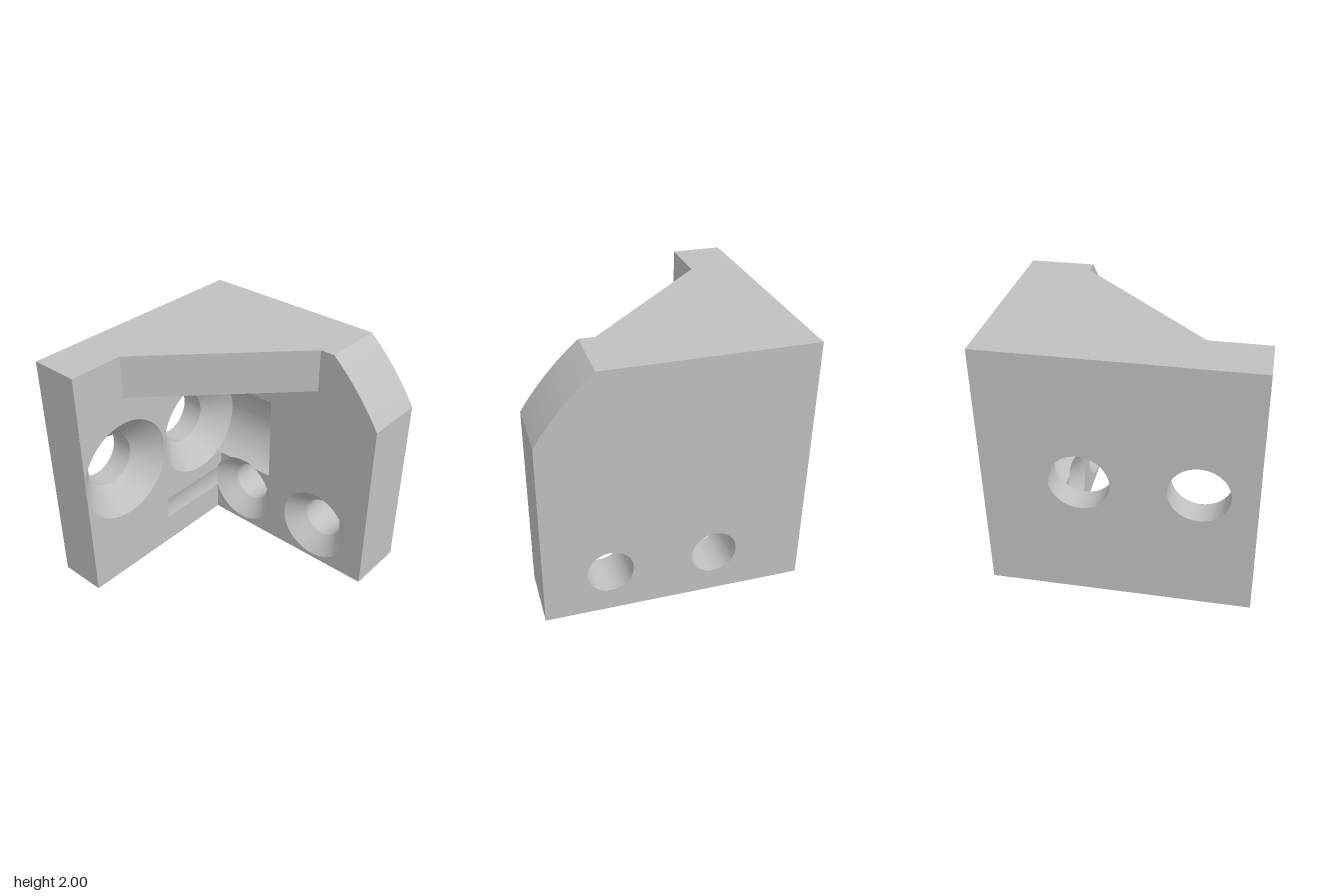
import * as THREE from 'three';
import { ParametricGeometry } from 'three/addons/geometries/ParametricGeometry.js';

const { lerp } = THREE.MathUtils;
const TAU = Math.PI * 2;

// Screw sizes: side-wall screws run along x, back-wall screws along z
const SIDE = { R: 0.429, r: 0.225, y: 1, z: [0.58, -0.28], wall: 0.4 };
const BACK = { R: 0.315, r: 0.175, y: 0.35, x: [-0.3, 0.5], wall: 0.5 };

// Root of a rising function on [lo, hi]; lo if already positive there
function solve(f, lo, hi) {
  if (f(lo) >= 0) return lo;
  for (let i = 0; i < 45; i++) {
    const m = (lo + hi) / 2;
    if (f(m) < 0) lo = m; else hi = m;
  }
  return hi;
}

export function createModel() {
  const grey = new THREE.MeshStandardMaterial({ color: 0xc0c0c0, side: THREE.DoubleSide });
  grey.name = 'plain grey';
  const model = new THREE.Group();
  model.name = 'cornerBracket';
  const part = (name) => {
    const g = new THREE.Group();
    g.name = name;
    model.add(g);
    return g;
  };
  const add = (group, name, geo) => {
    const m = new THREE.Mesh(geo, grey);
    m.name = name;
    group.add(m);
  };

  // Flat faces: x planes take (z, y), y planes take (x, z), z planes take (x, y)
  const flat = (group, name, shape, axis, at) => {
    const g = new THREE.ShapeGeometry(shape, 48);
    if (axis === 'x') g.rotateY(-Math.PI / 2).translate(at, 0, 0);
    if (axis === 'y') g.rotateX(Math.PI / 2).translate(0, at, 0);
    if (axis === 'z') g.translate(0, 0, at);
    add(group, name, g);
  };
  const poly = (...pts) => new THREE.Shape(pts.map(([a, b]) => new THREE.Vector2(a, b)));
  const circle = (a, b, r) => new THREE.Path().absarc(a, b, r, 0, TAU, false);
  const surface = (group, name, f, nu, nv) =>
    add(group, name, new ParametricGeometry((u, v, t) => t.set(...f(u, v)), nu, nv));

  const leftWall = part('sideWall');
  const backWall = part('backWall');
  const gusset = part('topGusset');

  // Where the inner screw heads bite into the neighbouring wall
  const pocketAngle = Math.acos(0.22 / SIDE.R);
  const pocketH = SIDE.R * Math.sin(pocketAngle);
  const grooveAngle = Math.acos(0.3 / BACK.R);
  const grooveH = BACK.R * Math.sin(grooveAngle);
  const lipAngle = Math.acos(0.42 / SIDE.R);
  const lipH = SIDE.R * Math.sin(lipAngle);

  // Side wall, outer face
  const outer = poly([-1, 0], [1, 0], [1, 2], [-1, 2]);
  SIDE.z.forEach((z) => outer.holes.push(circle(z, SIDE.y, SIDE.r)));
  flat(leftWall, 'outerFace', outer, 'x', -1);

  // Side wall, inner face with both countersink rims and the shallow groove
  const inner = new THREE.Shape();
  inner.moveTo(1, 0);
  inner.lineTo(1, 1 - lipH);
  inner.absarc(SIDE.z[0], 1, SIDE.R, -lipAngle, lipAngle, true);
  [[1, 2], [0.55, 2], [0.55, 1.65], [-0.5, 1.65], [-0.5, 1 + pocketH]].forEach((p) => inner.lineTo(...p));
  inner.absarc(SIDE.z[1], 1, SIDE.R, Math.PI - pocketAngle, pocketAngle - Math.PI, true);
  [[-0.5, 0.35 + grooveH], [0.15, 0.35 + grooveH], [0.15, 0.35 - grooveH], [-0.5, 0.35 - grooveH], [-0.5, 0]]
    .forEach((p) => inner.lineTo(...p));
  flat(leftWall, 'innerFace', inner, 'x', -0.6);

  // Side wall, front end, nicked by the front countersink
  const nick = [];
  for (let i = 0; i <= 12; i++) {
    const y = lerp(-lipH, lipH, i / 12);
    nick.push([-0.6 - SIDE.R + Math.hypot(0.42, y), 1 + y]);
  }
  flat(leftWall, 'frontEnd', poly([-1, 0], [-0.6, 0], ...nick, [-0.6, 2], [-1, 2]), 'z', 1);

  // Shallow groove in the side wall
  surface(leftWall, 'groove', (u, v) => {
    const a = Math.PI + lerp(-grooveAngle, grooveAngle, u);
    return [-0.3 + BACK.R * Math.cos(a), 0.35 + BACK.R * Math.sin(a), lerp(-0.5, 0.15, v)];
  }, 16, 1);
  flat(leftWall, 'grooveEnd', new THREE.Shape().absarc(-0.3, 0.35, BACK.R,
    Math.PI - grooveAngle, Math.PI + grooveAngle, false), 'z', 0.15);

  // Back wall, rear face with the curved corner cut
  const corner = new THREE.QuadraticBezierCurve(
    new THREE.Vector2(1, 1.5), new THREE.Vector2(0.823, 1.783), new THREE.Vector2(0.57, 2));
  const cutCorner = (s) => {
    s.lineTo(1, 1.5);
    s.quadraticCurveTo(0.823, 1.783, 0.57, 2);
  };
  const rear = new THREE.Shape();
  rear.moveTo(-1, 0);
  rear.lineTo(1, 0);
  cutCorner(rear);
  rear.lineTo(-1, 2);
  BACK.x.forEach((x) => rear.holes.push(circle(x, BACK.y, BACK.r)));
  flat(backWall, 'rearFace', rear, 'z', -1);

  // Back wall, front face: the pocket opening runs into the inner countersink
  const meet = Math.asin((1 - pocketH - 0.35) / BACK.R);
  const front = new THREE.Shape();
  front.moveTo(-0.6, 0);
  front.lineTo(1, 0);
  cutCorner(front);
  [[0.45, 2], [0.45, 1.65], [-0.6, 1.65], [-0.6, 1 + pocketH], [0, 1 + pocketH], [0, 1 - pocketH]]
    .forEach((p) => front.lineTo(...p));
  front.absarc(-0.3, 0.35, BACK.R, meet, grooveAngle - Math.PI, true);
  front.holes.push(circle(BACK.x[1], BACK.y, BACK.R));
  flat(backWall, 'frontFace', front, 'z', -0.5);
  const sliver = new THREE.Shape();
  sliver.moveTo(-0.6, 1 - pocketH);
  sliver.absarc(-0.3, 0.35, BACK.R, Math.PI - grooveAngle, Math.PI - meet, true);
  flat(backWall, 'frontFaceSliver', sliver, 'z', -0.5);

  // Curved corner cut and right end
  surface(backWall, 'cornerCut', (u, v) => {
    const p = corner.getPoint(u);
    return [p.x, p.y, lerp(-0.5, -1, v)];
  }, 16, 1);
  flat(backWall, 'endFace', poly([-1, 0], [-0.5, 0], [-0.5, 1.5], [-1, 1.5]), 'x', 1);

  // Round pocket in the back wall, trimmed where it meets the countersink
  surface(backWall, 'pocket', (u, v) => {
    const x = lerp(-0.6, 0, u);
    const at = (a) => [x, 1 + SIDE.R * Math.sin(a), SIDE.z[1] - SIDE.R * Math.cos(a)];
    const low = solve((a) => {
      const [, y, z] = at(a);
      return Math.hypot(x + 0.3, y - 0.35) - BACK.R + (-0.5 - z);
    }, -pocketAngle, 0);
    return at(lerp(low, pocketAngle, v));
  }, 64, 32);
  flat(backWall, 'pocketEnd', new THREE.Shape().absarc(SIDE.z[1], 1, SIDE.R,
    Math.PI - pocketAngle, Math.PI + pocketAngle, false), 'x', 0);

  // Countersunk screw holes: a 45 degree cone, then a straight bore
  const screwHole = (group, s, put, start) => {
    const depth = s.R - s.r;
    surface(group, 'countersink', (u, v) => {
      const a = u * TAU;
      const d = lerp(start(a), depth, v);
      return put(s.R - d, a, d);
    }, 96, 4);
    surface(group, 'bore', (u, v) => put(s.r, u * TAU, lerp(depth, s.wall, v)), 96, 1);
  };
  SIDE.z.forEach((zc, i) => {
    const put = (r, a, d) => [-0.6 - d, SIDE.y + r * Math.sin(a), zc + r * Math.cos(a)];
    screwHole(leftWall, SIDE, put,
      (a) => (i === 0 && Math.cos(a) > 0.9 ? Math.max(0, SIDE.R - 0.42 / Math.cos(a)) : 0));
  });
  BACK.x.forEach((xc, i) => {
    const put = (r, a, d) => [xc + r * Math.cos(a), BACK.y + r * Math.sin(a), -0.5 - d];
    screwHole(backWall, BACK, put, (a) => (i === 1 ? 0 : solve((d) => {
      const [, y, z] = put(BACK.R - d, a, d);
      return Math.hypot(y - 1, z - SIDE.z[1]) - SIDE.R;
    }, 0, BACK.R - BACK.r)));
  });

  // Top and bottom faces
  flat(gusset, 'topFace', poly([-1, -1], [0.57, -1], [0.57, -0.5], [0.45, -0.5],
    [-0.6, 0.55], [-0.6, 1], [-1, 1]), 'y', 2);
  flat(backWall, 'bottomFace', poly([-1, -1], [1, -1], [1, -0.5], [-0.6, -0.5], [-0.6, 1], [-1, 1]), 'y', 0);

  // Gusset underside and slanted edge
  flat(gusset, 'underside', poly([-0.6, -0.5], [0.45, -0.5], [-0.6, 0.55]), 'y', 1.65);
  surface(gusset, 'slantedEdge', (u, v) => [lerp(-0.6, 0.45, u), lerp(1.65, 2, v), lerp(0.55, -0.5, u)], 1, 1);

  return model;
}
